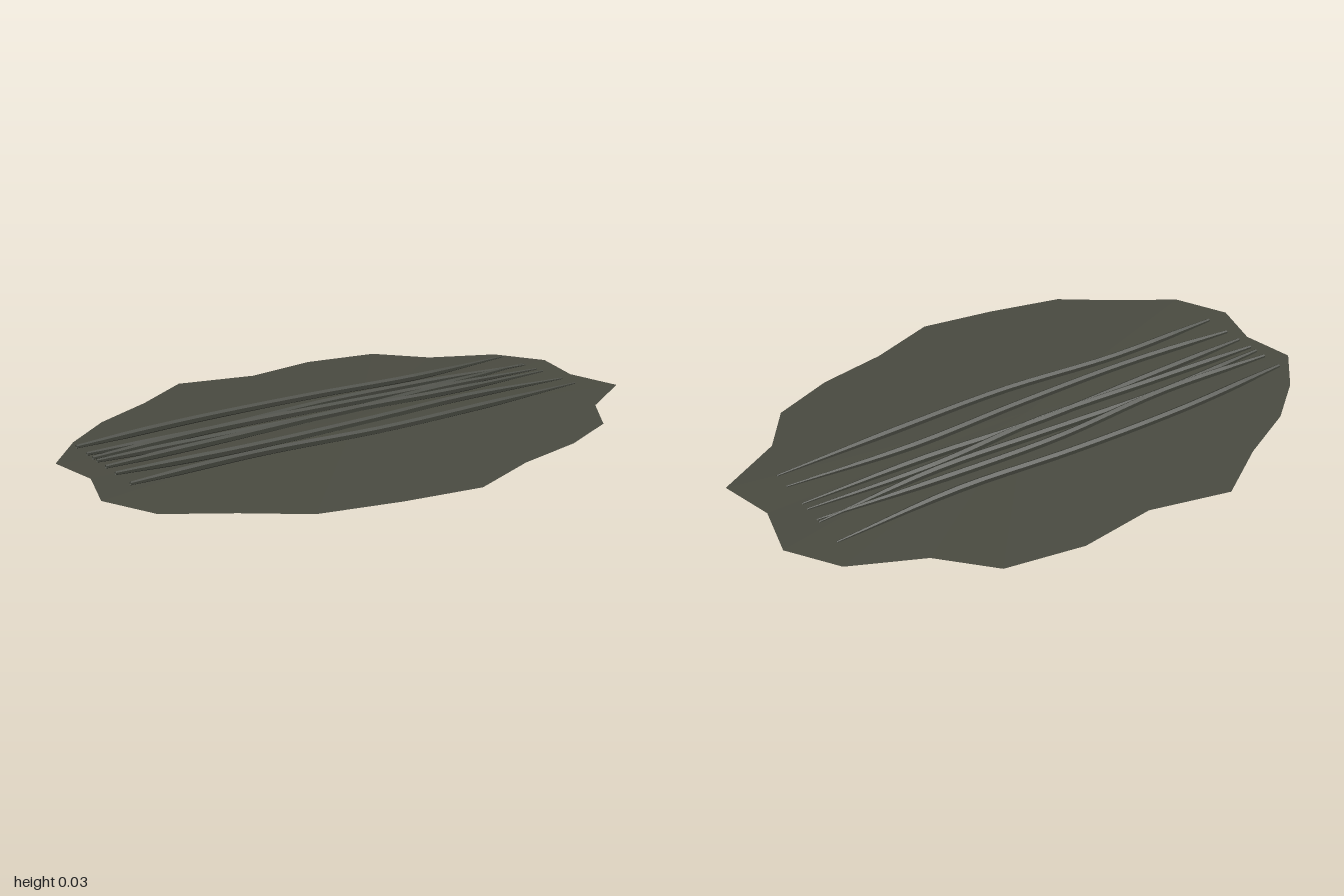
import * as THREE from 'three';

const sheetMaterial = new THREE.MeshStandardMaterial({ color: 0x4a4b41, side: THREE.DoubleSide, flatShading: true });
sheetMaterial.name = 'dull olive grey';
const ribMaterial = new THREE.MeshStandardMaterial({ color: 0x40423a, side: THREE.DoubleSide, flatShading: true });
ribMaterial.name = 'dark olive grey';

// Ragged outline of the sheet as x, z pairs
const OUTLINE = [
  [0.99, -0.2], [0.95, -0.01], [1, 0.18], [0.78, 0.31], [0.67, 0.47], [0.46, 0.56],
  [0.22, 0.61], [-0.02, 0.7], [-0.28, 0.66], [-0.54, 0.6], [-0.72, 0.47], [-0.91, 0.35],
  [-1, 0.17], [-0.95, -0.01], [-0.985, -0.19], [-0.86, -0.34], [-0.7, -0.47], [-0.49, -0.575],
  [-0.29, -0.705], [-0.02, -0.64], [0.24, -0.675], [0.5, -0.63], [0.65, -0.47], [0.88, -0.365],
];

// Each rib's z at the five stations along x
const STATIONS = [-0.89, -0.45, 0, 0.42, 0.85];
const RIBS = [
  [-0.246, -0.275, -0.272, -0.249, -0.275],
  [-0.168, -0.152, -0.185, -0.175, -0.146],
  [-0.125, -0.152, -0.137, -0.122, -0.16],
  [-0.094, -0.08, -0.066, -0.098, -0.083],
  [-0.032, -0.05, -0.07, -0.048, -0.05],
  [0.035, 0.06, 0.052, 0.032, 0.057],
  [0.136, 0.121, 0.152, 0.142, 0.125],
];

// Very shallow fan, raised at the middle
function makeSheet() {
  const positions = [0, 0.014, 0];
  const index = [];
  const n = OUTLINE.length;
  OUTLINE.forEach(([x, z], i) => {
    positions.push(x, 0, z);
    index.push(0, 1 + (i + 1) % n, 1 + i);
  });
  const geometry = new THREE.BufferGeometry();
  geometry.setAttribute('position', new THREE.Float32BufferAttribute(positions, 3));
  geometry.setIndex(index);
  geometry.computeVertexNormals();
  return new THREE.Mesh(geometry, sheetMaterial);
}

// Wavy six-sided tube, narrowed towards both ends
function makeRib(zs) {
  const steps = 20, sides = 6;
  const curve = new THREE.CatmullRomCurve3(zs.map((z, i) => new THREE.Vector3(STATIONS[i], 0.019, z)));
  const geometry = new THREE.TubeGeometry(curve, steps, 1, sides);
  const position = geometry.attributes.position;
  const vertex = new THREE.Vector3();
  for (let i = 0; i <= steps; i++) {
    const t = i / steps;
    const centre = curve.getPointAt(t);
    const radius = Math.min(0.013, 0.006 + t * 0.06, 0.003 + (1 - t) * 0.045);
    for (let j = 0; j <= sides; j++) {
      const k = i * (sides + 1) + j;
      vertex.fromBufferAttribute(position, k).sub(centre).multiplyScalar(radius).add(centre);
      position.setXYZ(k, vertex.x, vertex.y, vertex.z);
    }
  }
  geometry.computeVertexNormals();
  return new THREE.Mesh(geometry, ribMaterial);
}

export function createModel() {
  const model = new THREE.Group();
  model.name = 'ribbedSheet';
  const sheet = makeSheet();
  sheet.name = 'sheet';
  model.add(sheet);
  RIBS.forEach((zs, i) => {
    const rib = makeRib(zs);
    rib.name = `rib${i + 1}`;
    model.add(rib);
  });
  return model;
}
